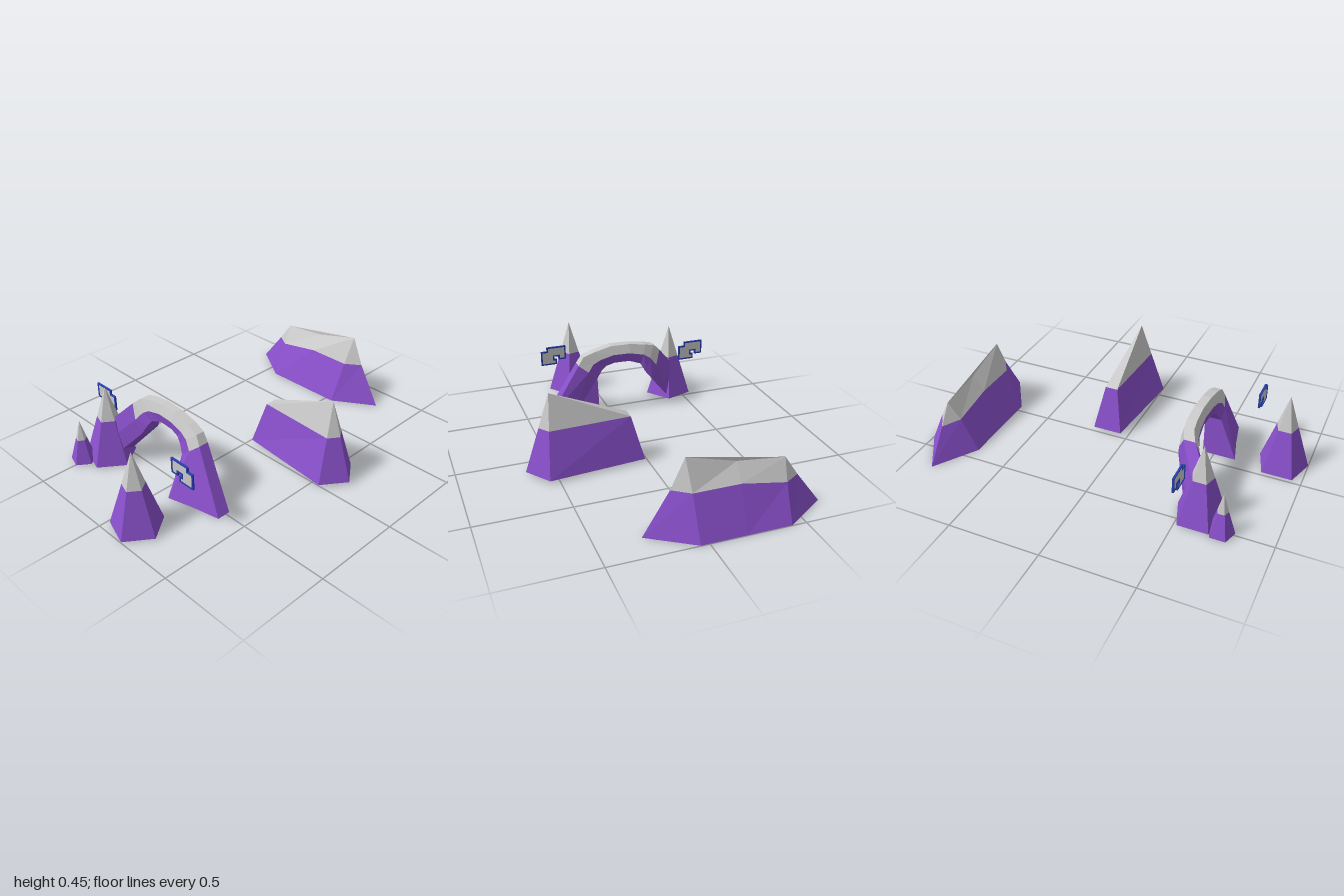
import * as THREE from 'three';

const grey = new THREE.MeshStandardMaterial({ color: 0xcccccc, flatShading: true });
const purple = new THREE.MeshStandardMaterial({ color: 0x8a50cc, flatShading: true });
const navy = new THREE.MeshStandardMaterial({ color: 0x2840b0 });

// Closed solid through rings of equal point count, turned outward by its signed volume
function loft(rings) {
  const tris = [];
  const n = rings[0].length;
  const add = (...t) => {
    const [a, b, c] = t.map((p) => new THREE.Vector3(...p));
    if (b.clone().sub(a).cross(c.clone().sub(a)).length() > 1e-7) tris.push([a, b, c]);
  };
  for (let r = 0; r + 1 < rings.length; r++) {
    for (let i = 0; i < n; i++) {
      const j = (i + 1) % n, A = rings[r], B = rings[r + 1];
      add(A[i], A[j], B[j]);
      add(A[i], B[j], B[i]);
    }
  }
  const first = rings[0], last = rings[rings.length - 1];
  for (let i = 1; i + 1 < n; i++) {
    add(first[0], first[i + 1], first[i]);
    add(last[0], last[i], last[i + 1]);
  }
  const o = tris[0][0];
  let volume = 0;
  for (const [a, b, c] of tris) {
    volume += a.clone().sub(o).dot(b.clone().sub(o).cross(c.clone().sub(o)));
  }
  const points = tris.flatMap(([a, b, c]) => (volume < 0 ? [a, c, b] : [a, b, c]));
  const geometry = new THREE.BufferGeometry().setFromPoints(points);
  geometry.computeVertexNormals();
  return geometry;
}

function part(parent, name, geometry, material) {
  const mesh = new THREE.Mesh(geometry, material);
  mesh.name = name;
  parent.add(mesh);
}

// Rock with a purple lower body and a grey cap
function rock(name, base, middle, top) {
  const g = new THREE.Group();
  g.name = name;
  part(g, 'rockBody', loft([base, middle]), purple);
  part(g, 'rockCap', loft([middle, top]), grey);
  return g;
}

// Five-sided spire; stretch pulls its front half and tip forward into a ridge
function spire(name, x, z, radius, height, capStart, y0 = 0.005, stretch = 0) {
  const ring = (r, y) => Array.from({ length: 5 }, (_, i) => {
    const a = (i * Math.PI * 2) / 5;
    const front = Math.cos(a) > 0 || r === 0;
    return [x + r * Math.sin(a), y, z + r * Math.cos(a) + (front ? stretch : 0)];
  });
  return rock(name, ring(radius, y0), ring(radius * 0.43, capStart), ring(0, height));
}

// Long eight-sided ridge, listed along one flank and mirrored to the other
function longRidge() {
  const cx = 0.85;
  const ring = (pts) => {
    const flank = pts.map(([dx, y, z]) => [cx + dx, y, z]);
    const mirror = pts.slice(1, -1).reverse().map(([dx, y, z]) => [cx - dx, y, z]);
    return [...flank, ...mirror];
  };
  return rock('longRidge',
    ring([[0, 0, 0.275], [0.148, 0, 0.045], [0.148, 0, -0.19], [0.148, 0, -0.425], [0, 0, -0.655]]),
    ring([[0, 0.227, 0.14], [0.06, 0.227, 0.055], [0.06, 0.227, -0.19], [0.06, 0.185, -0.43], [0, 0.178, -0.52]]),
    ring([[0, 0.385, 0.07], [0, 0.385, 0.07], [0, 0.315, -0.19], [0, 0.287, -0.445], [0, 0.287, -0.445]]));
}

// Bent stone arch: stations give the outer and inner edge, then three half widths
function arch() {
  const stations = [
    [[-0.515, 0, 0.37], [-0.53, 0, 0.07], 0.037, 0.06, 0.092],
    [[-0.475, 0.32, 0.19], [-0.48, 0.23, 0.08], 0.028, 0.047, 0.045],
    [[-0.47, 0.37, 0.16], [-0.475, 0.275, 0.05], 0.024, 0.042, 0.035],
    [[-0.465, 0.395, 0.095], [-0.47, 0.3, 0.02], 0.024, 0.04, 0.03],
    [[-0.465, 0.42, -0.01], [-0.465, 0.315, -0.03], 0.024, 0.04, 0.03],
    [[-0.46, 0.42, -0.12], [-0.46, 0.315, -0.12], 0.024, 0.04, 0.03],
    [[-0.46, 0.405, -0.22], [-0.46, 0.29, -0.19], 0.026, 0.042, 0.035],
    [[-0.465, 0.39, -0.275], [-0.46, 0.25, -0.22], 0.026, 0.045, 0.045],
    [[-0.485, 0.35, -0.32], [-0.465, 0.19, -0.255], 0.03, 0.055, 0.055],
    [[-0.58, 0.22, -0.43], [-0.57, 0.02, -0.39], 0.04, 0.07, 0.075],
  ];
  const sections = stations.map(([outer, inner, a, b, c]) => {
    const shoulder = outer.map((v, i) => v + (inner[i] - v) * 0.5);
    const side = ([x, y, z], d) => [x + d, y, z];
    return {
      upper: [side(shoulder, -b), side(outer, -a), side(outer, a), side(shoulder, b)],
      lower: [side(shoulder, -b), side(shoulder, b), side(inner, c), side(inner, -c)],
    };
  });
  const span = (key, from, to) => loft(sections.slice(from, to + 1).map((s) => s[key]));
  const g = new THREE.Group();
  g.name = 'arch';
  part(g, 'archFootOuter', span('upper', 0, 1), purple);
  part(g, 'archUnderside', span('lower', 0, 9), purple);
  part(g, 'archCap', span('upper', 1, 8), grey);
  part(g, 'archRootOuter', span('upper', 8, 9), purple);
  return g;
}

// Thin stepped panel with a dark border, standing in the side plane
function panel(name, x, y, z) {
  const outline = [[0, 0], [0.088, 0], [0.088, 0.025], [0.072, 0.025], [0.072, 0.05], [0.107, 0.05],
    [0.107, 0.028], [0.145, 0.028], [0.145, 0.105], [0.035, 0.105], [0.035, 0.08], [0, 0.08]]
    .map((p) => new THREE.Vector2(...p));
  const g = new THREE.Group();
  g.name = name;
  const face = new THREE.ExtrudeGeometry(new THREE.Shape(outline), { depth: 0.004, bevelEnabled: false });
  part(g, 'panelFace', face.translate(0, 0, -0.002), grey);
  outline.forEach((p, i) => {
    const q = outline[(i + 1) % outline.length];
    const bar = new THREE.BoxGeometry(Math.abs(q.x - p.x) + 0.008, Math.abs(q.y - p.y) + 0.008, 0.01);
    part(g, 'panelBorder', bar.translate((p.x + q.x) / 2, (p.y + q.y) / 2, 0), navy);
  });
  g.rotation.y = Math.PI / 2;
  g.position.set(x, y, z);
  return g;
}

export function createModel() {
  const model = new THREE.Group();
  model.name = 'rockFormation';
  model.add(
    spire('frontSpire', -0.867, 0.13, 0.14, 0.44, 0.25),
    spire('backSpire', -0.6, -0.437, 0.14, 0.437, 0.25),
    spire('smallSpire', -0.733, -0.512, 0.07, 0.25, 0.14),
    spire('middleRidge', 0.122, 0.13, 0.14, 0.448, 0.26, 0.015, 0.38),
    longRidge(),
    arch(),
    panel('frontPanel', -0.69, 0.252, 0.352),
    panel('backPanel', -0.517, 0.243, -0.475),
  );
  return model;
}
